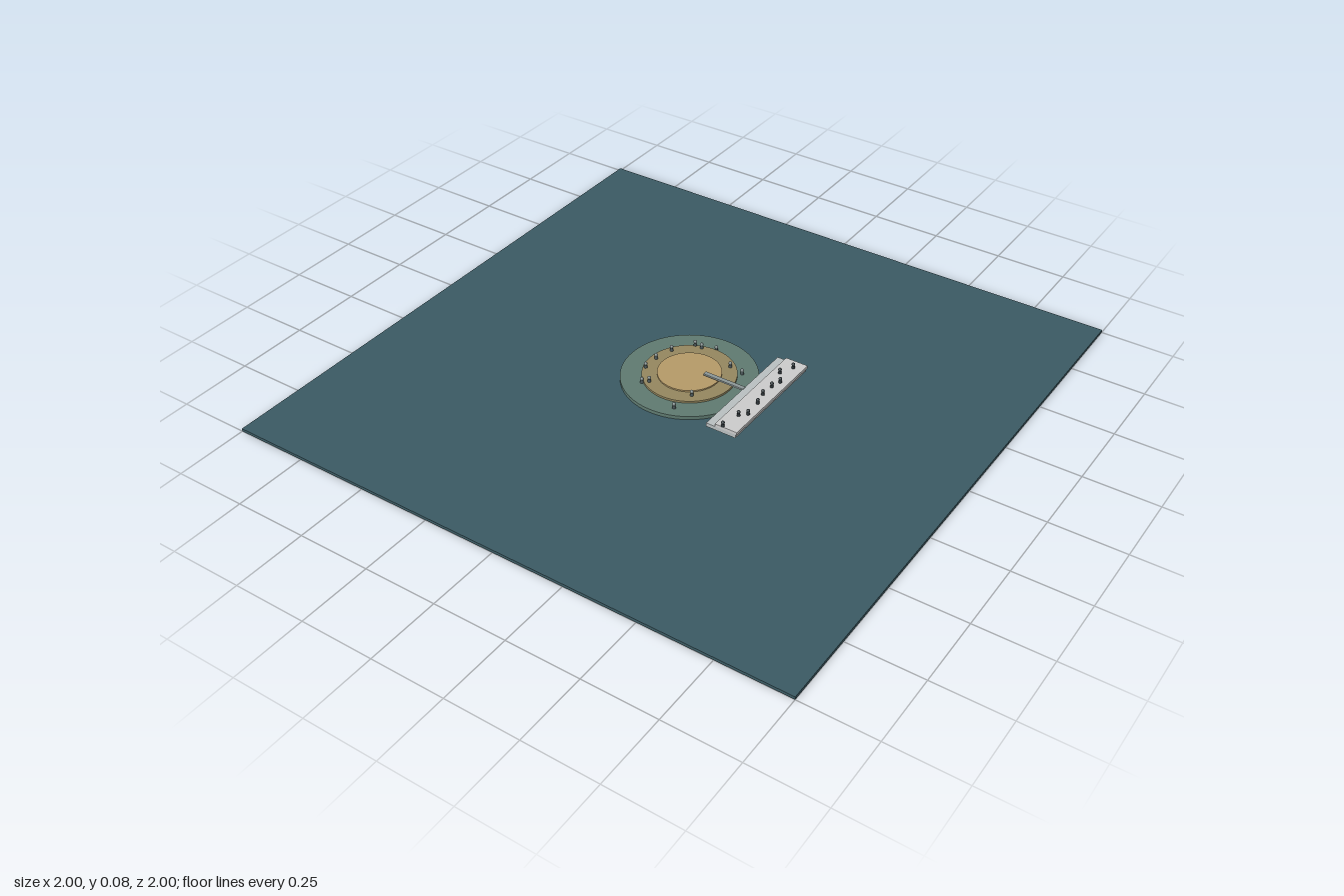
import * as THREE from 'three';

export function createModel() {
  const model = new THREE.Group();
  const mats = {};
  const mat = (color) => (mats[color] ??= new THREE.MeshStandardMaterial({ color }));

  function add(name, geometry, color, x, y, z, parent = model) {
    const mesh = new THREE.Mesh(geometry, mat(color));
    mesh.name = name;
    mesh.position.set(x, y, z);
    parent.add(mesh);
    return mesh;
  }

  // Box given by its limits on each axis
  function slab(name, color, [x0, x1], [y0, y1], [z0, z1]) {
    return add(name, new THREE.BoxGeometry(x1 - x0, y1 - y0, z1 - z0), color,
      (x0 + x1) / 2, (y0 + y1) / 2, (z0 + z1) / 2);
  }

  // Flat disc standing between two heights
  function disc(name, color, radius, y0, y1) {
    return add(name, new THREE.CylinderGeometry(radius, radius, y1 - y0, 64), color,
      0, (y0 + y1) / 2, 0);
  }

  // Ground sheet and the three stepped discs
  slab('ground', 0x3b5a63, [-1, 1], [0, 0.01], [-1, 1]);
  disc('outerDisc', 0x5f7a70, 0.225, 0.01, 0.022);
  disc('middleDisc', 0x94875f, 0.155, 0.022, 0.029);
  disc('innerDisc', 0xb59a68, 0.105, 0.029, 0.034);

  // Two-step platform beside the discs
  slab('lowerPlatform', 0xb9bfc0, [0.203, 0.31], [0.033, 0.046], [-0.212, 0.21]);
  slab('upperPlatform', 0xcfd3d3, [0.235, 0.315], [0.046, 0.056], [-0.212, 0.21]);

  // Narrow gangway from platform to the inner disc
  slab('gangway', 0x8b9696, [0.055, 0.205], [0.042, 0.048], [-0.013, 0.002]);

  // Small post with a round head
  const post = new THREE.CylinderGeometry(0.004, 0.006, 0.014, 10);
  const head = new THREE.SphereGeometry(0.006, 12, 8);
  function figure(name, x, y, z, bodyColor, headColor) {
    const group = new THREE.Group();
    group.name = name;
    group.position.set(x, y, z);
    add('body', post, bodyColor, 0, 0.007, 0, group);
    add('head', head, headColor, 0, 0.015, 0, group);
    model.add(group);
  }

  // Figures on the platform
  const onPlatform = [
    [0.283, -0.176], [0.262, -0.128], [0.289, -0.086], [0.28, -0.05], [0.278, 0],
    [0.289, 0.048], [0.294, 0.112], [0.273, 0.134], [0.262, 0.206],
  ];
  for (const [x, z] of onPlatform) figure('platformFigure', x, 0.055, z, 0x2b3236, 0x30383c);

  // Figures around the discs, standing on whichever step is beneath them
  const onDiscs = [
    [0, -0.158], [-0.043, -0.136], [-0.07, -0.138], [-0.118, -0.07], [-0.134, -0.004],
    [-0.134, 0.055], [-0.102, 0.122], [-0.08, 0.112], [0.075, 0.098], [0.06, 0.176],
    [0.092, -0.1], [0.14, -0.096],
  ];
  for (const [x, z] of onDiscs) {
    const y = Math.hypot(x, z) < 0.155 ? 0.029 : 0.022;
    figure('discFigure', x, y, z, 0x4a5658, 0x7d8888);
  }

  return model;
}
